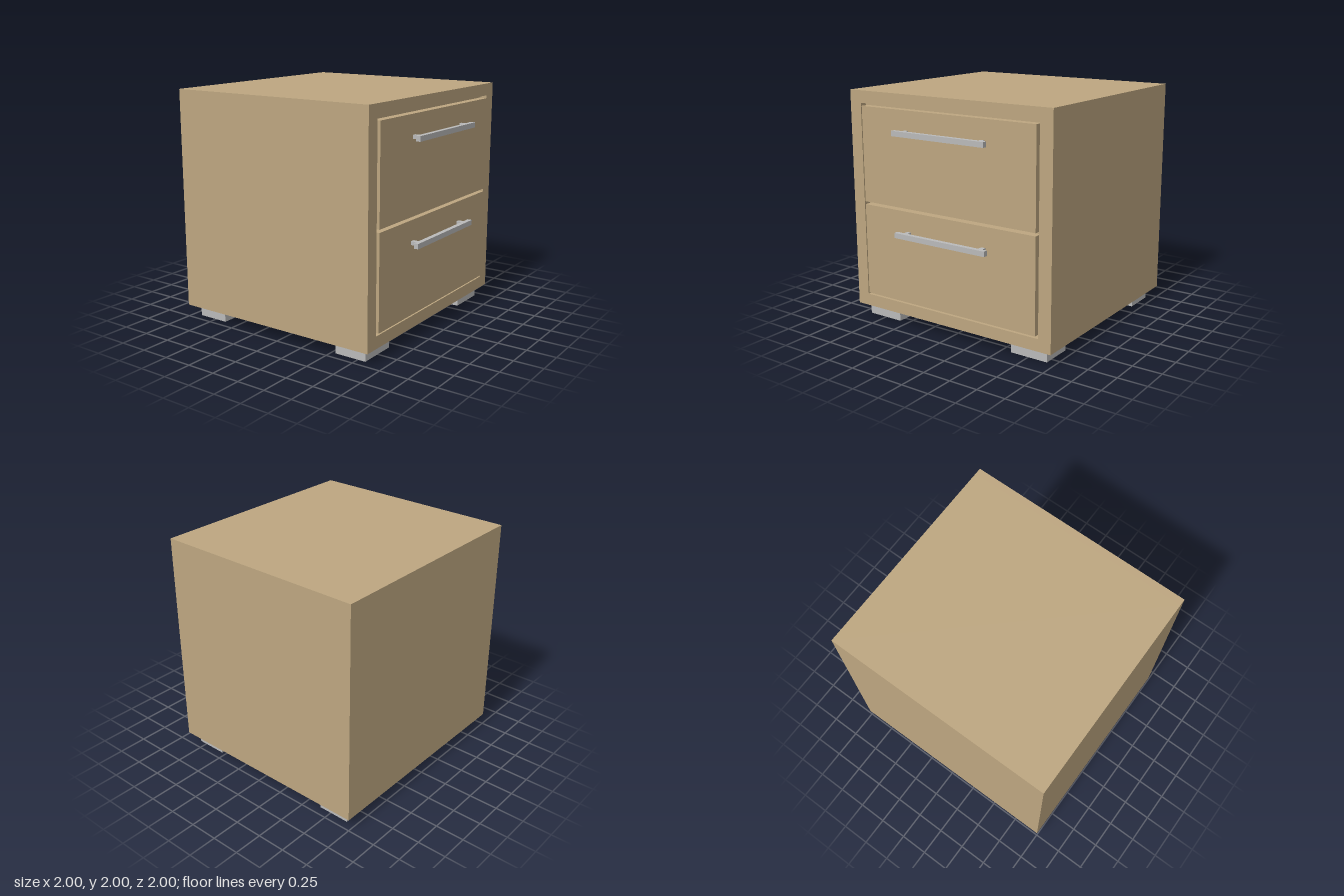
import * as THREE from 'three';

const wood = new THREE.MeshStandardMaterial({ color: 0xbda680 });
wood.name = 'wood';
const metal = new THREE.MeshStandardMaterial({ color: 0xbababa });
metal.name = 'metal';

// Box given by its minimum and maximum on each axis
function block(name, material, [x0, x1], [y0, y1], [z0, z1]) {
  const mesh = new THREE.Mesh(new THREE.BoxGeometry(x1 - x0, y1 - y0, z1 - z0), material);
  mesh.position.set((x0 + x1) / 2, (y0 + y1) / 2, (z0 + z1) / 2);
  mesh.name = name;
  return mesh;
}

function rectangle(Type, x, y0, y1) {
  return new Type([[-x, y0], [x, y0], [x, y1], [-x, y1]].map(([a, b]) => new THREE.Vector2(a, b)));
}

export function createModel() {
  const model = new THREE.Group();
  model.name = 'nightstand';

  const bottom = 0.105, front = 0.89, recess = 0.83;

  // Cabinet: solid body with a frame around the drawer opening
  const cabinet = new THREE.Group();
  cabinet.name = 'cabinet';
  cabinet.add(block('cabinetBody', wood, [-1, 1], [bottom, 2], [-1, recess]));
  const outline = rectangle(THREE.Shape, 1, bottom, 2);
  outline.holes.push(rectangle(THREE.Path, 0.885, 0.21, 1.895));
  const frame = new THREE.Mesh(
    new THREE.ExtrudeGeometry(outline, { depth: front - recess, bevelEnabled: false }), wood);
  frame.position.z = recess;
  frame.name = 'frontFrame';
  cabinet.add(frame);
  model.add(cabinet);

  // Drawers, each with a bar handle on two posts
  const drawers = [['lower', 0.23, 1.03, 0.842], ['upper', 1.055, 1.873, 1.693]];
  for (const [level, y0, y1, handleY] of drawers) {
    const drawer = new THREE.Group();
    drawer.name = level + 'Drawer';
    drawer.add(block('drawerFront', wood, [-0.864, 0.864], [y0, y1], [recess, 0.902]));
    drawer.add(block('handleBar', metal, [-0.457, 0.457], [handleY - 0.022, handleY + 0.022], [0.961, 1]));
    for (const x of [-0.381, 0.381]) {
      drawer.add(block('handlePost', metal, [x - 0.019, x + 0.019],
        [handleY - 0.016, handleY + 0.016], [0.902, 0.961]));
    }
    model.add(drawer);
  }

  // Four feet
  for (const x of [-0.755, 0.755]) {
    for (const z of [-0.78, 0.68]) {
      model.add(block('foot', metal, [x - 0.17, x + 0.17], [0, bottom], [z - 0.141, z + 0.141]));
    }
  }
  return model;
}
